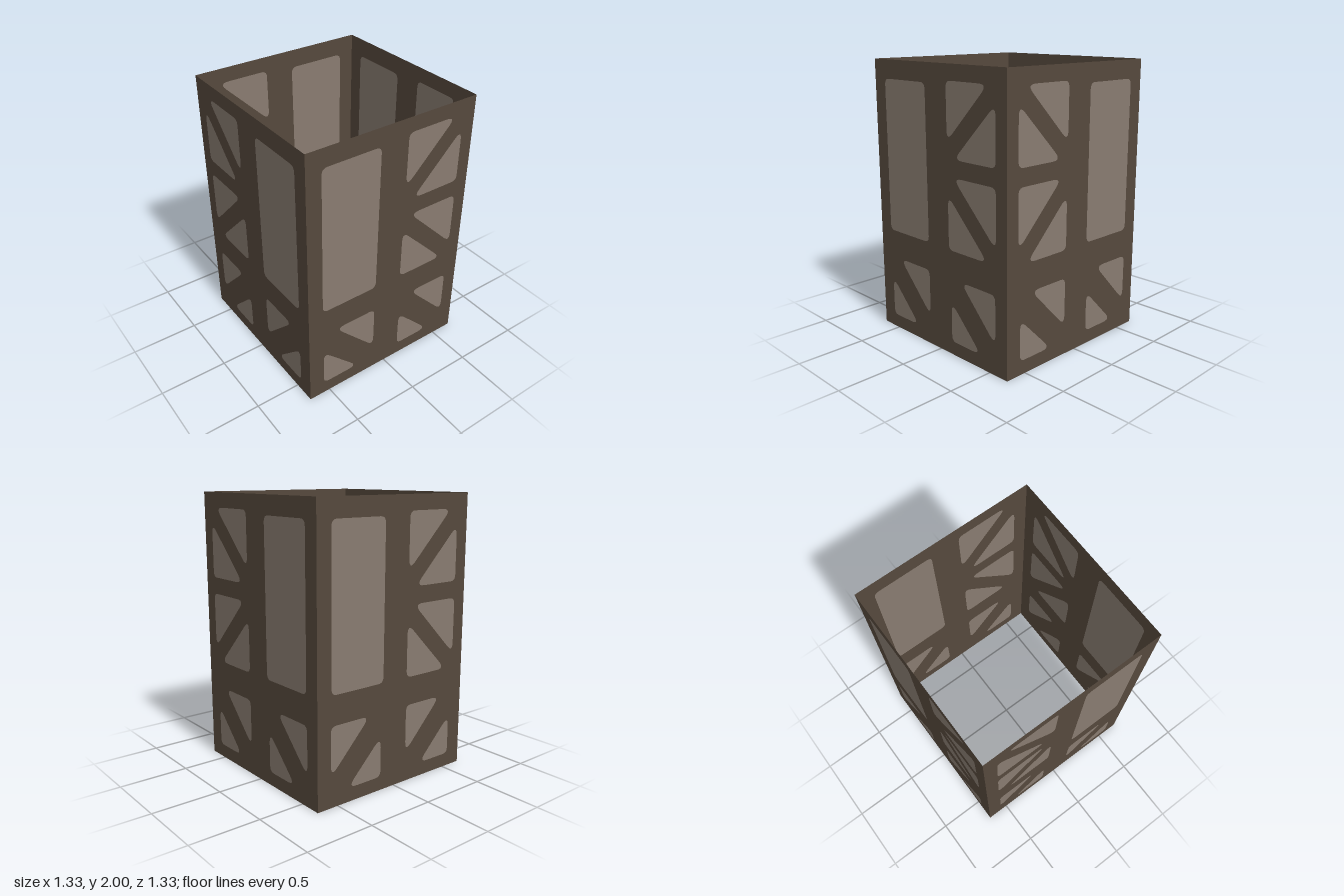
import * as THREE from 'three';

const HALF = 0.665;
const HEIGHT = 2;

// Pane outlines as sharp corners, on a wall seen from outside
const upperPanes = [
  [[0.108, 0.765], [0.552, 0.765], [0.552, 1.867], [0.108, 1.867]],
  [[-0.5, 1.893], [-0.108, 1.5], [-0.108, 1.893]],
  [[-0.567, 1.388], [-0.175, 1.388], [-0.567, 1.78]],
  [[-0.567, 0.865], [-0.165, 1.267], [-0.567, 1.267]],
  [[-0.488, 0.762], [-0.108, 0.762], [-0.108, 1.142]],
];
const lowerPanes = [
  [[-0.557, 0.215], [-0.225, 0.56], [-0.557, 0.56]],
  [[-0.415, 0.098], [-0.123, 0.098], [-0.123, 0.39]],
  [[0.11, 0.215], [0.445, 0.56], [0.11, 0.56]],
  [[0.255, 0.098], [0.548, 0.098], [0.548, 0.39]],
];

// Closed path with softened corners; acute corners are cut back further
function roundedPath(corners, PathType) {
  const pts = corners.map(([x, y]) => new THREE.Vector2(x, y));
  const path = new PathType();
  pts.forEach((p, i) => {
    const toPrev = pts[(i + pts.length - 1) % pts.length].clone().sub(p).normalize();
    const toNext = pts[(i + 1) % pts.length].clone().sub(p).normalize();
    const cut = toPrev.dot(toNext) > 0.3 ? 0.08 : 0.045;
    const a = p.clone().addScaledVector(toPrev, cut);
    const b = p.clone().addScaledVector(toNext, cut);
    if (i === 0) path.moveTo(a.x, a.y);
    else path.lineTo(a.x, a.y);
    path.quadraticCurveTo(p.x, p.y, b.x, b.y);
  });
  path.closePath();
  return path;
}

const flip = (panes, mirrored) =>
  mirrored ? panes.map((c) => c.map(([x, y]) => [-x, y]).reverse()) : panes;

export function createModel() {
  const frameMaterial = new THREE.MeshStandardMaterial({ color: 0x56493d, side: THREE.DoubleSide });
  frameMaterial.name = 'dark brown frame';
  const paneMaterial = new THREE.MeshStandardMaterial({ color: 0x897c71, side: THREE.DoubleSide });
  paneMaterial.name = 'grey brown pane';

  // One sheet wall: a pierced frame with panes filling the openings
  function makeWall(name, angle, mirrorUpper, mirrorLower) {
    const wall = new THREE.Group();
    wall.name = name;
    const panes = [...flip(upperPanes, mirrorUpper), ...flip(lowerPanes, mirrorLower)];

    const outline = new THREE.Shape();
    outline.moveTo(-HALF, 0);
    outline.lineTo(HALF, 0);
    outline.lineTo(HALF, HEIGHT);
    outline.lineTo(-HALF, HEIGHT);
    outline.closePath();
    outline.holes = panes.map((c) => roundedPath(c, THREE.Path));
    const frame = new THREE.Mesh(new THREE.ShapeGeometry(outline, 6), frameMaterial);
    frame.name = 'frame';

    const shapes = panes.map((c) => roundedPath(c, THREE.Shape));
    const fill = new THREE.Mesh(new THREE.ShapeGeometry(shapes, 6), paneMaterial);
    fill.name = 'panes';

    wall.add(frame, fill);
    wall.rotation.y = angle;
    wall.position.set(Math.sin(angle) * HALF, 0, Math.cos(angle) * HALF);
    return wall;
  }

  // Four walls around an open top and bottom
  const model = new THREE.Group();
  model.name = 'latticeBox';
  model.add(
    makeWall('frontWall', 0, false, false),
    makeWall('leftWall', Math.PI / 2, true, true),
    makeWall('backWall', Math.PI, false, true),
    makeWall('rightWall', -Math.PI / 2, true, false),
  );
  return model;
}
